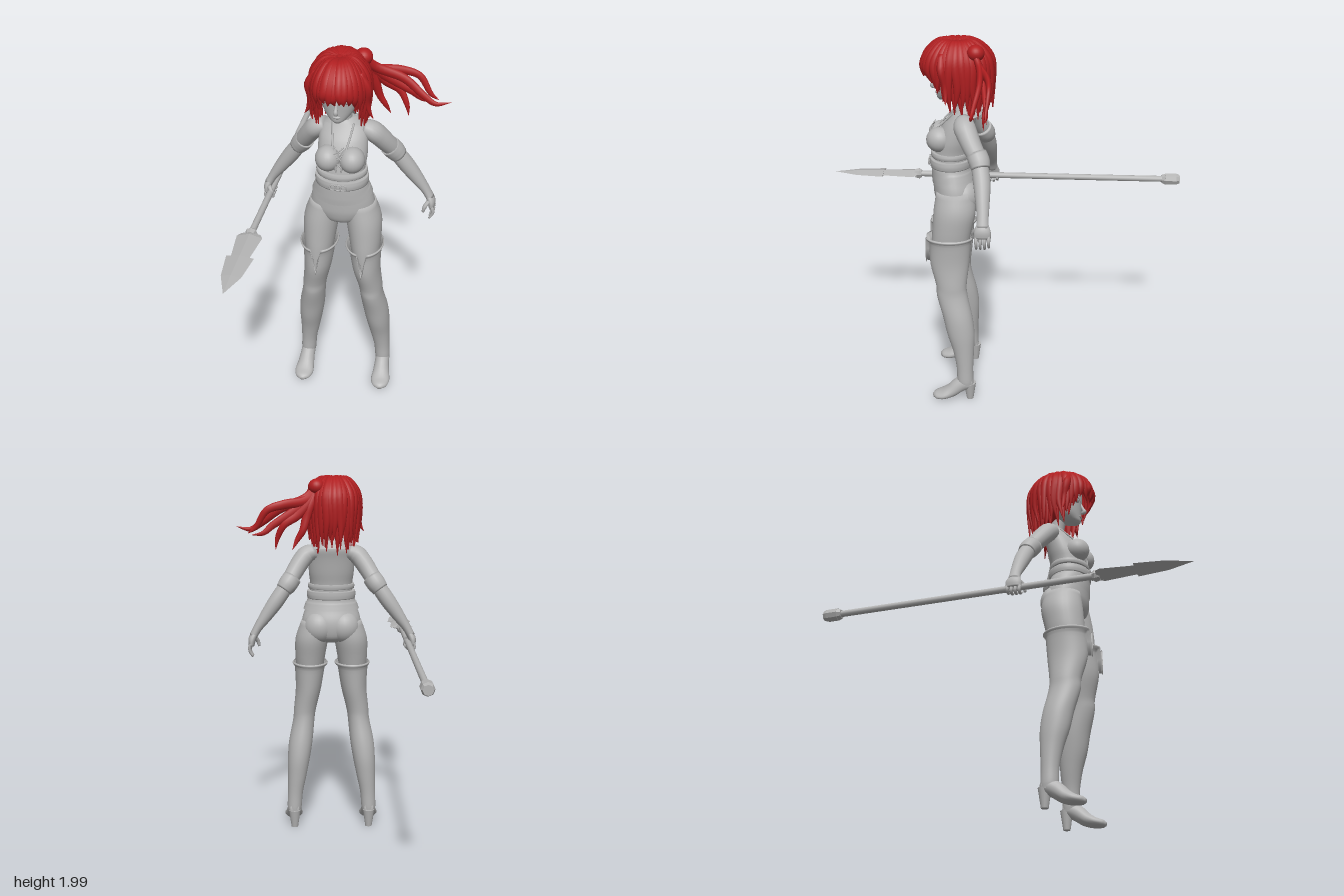
import * as THREE from 'three';

const V = (x, y, z) => new THREE.Vector3(x, y, z);
const UP = V(0, 1, 0), SIDE_Z = V(0, 0, 1);
const grey = new THREE.MeshStandardMaterial({ color: 0xb4b4b4, side: THREE.DoubleSide });
grey.name = 'plain grey';
const red = new THREE.MeshStandardMaterial({ color: 0xb01e20 });
red.name = 'hair red';

function mesh(geo, name, mat = grey) {
  const m = new THREE.Mesh(geo, mat);
  m.name = name;
  return m;
}

// Smooth tube through [x, y, z, radiusA, radiusB]; axis fixes the ring direction
function loft(pts, name, { mat = grey, ref = SIDE_Z, axis = null, n = 20, steps = 4, open = false, rule = null } = {}) {
  const path = new THREE.CatmullRomCurve3(pts.map(p => V(p[0], p[1], p[2])));
  const radii = new THREE.CatmullRomCurve3(pts.map(p => V(p[3], p[4] ?? p[3], 0)), false, 'catmullrom', 0.5);
  const count = (pts.length - 1) * steps, pos = [], idx = [];
  const rings = [];
  for (let i = 0; i <= count; i++) rings.push([i / count, 1]);
  if (!open) { rings.unshift([0, 0]); rings.push([1, 0]); }
  for (const [t, k] of rings) {
    const c = path.getPoint(t), r = radii.getPoint(t), T = axis ?? path.getTangent(t);
    const U = T.clone().cross(ref).normalize(), W = U.clone().cross(T).normalize();
    for (let j = 0; j < n; j++) {
      const a = j / n * Math.PI * 2;
      const p = c.clone().addScaledVector(U, Math.cos(a) * Math.max(r.x, 0) * k).addScaledVector(W, Math.sin(a) * Math.max(r.y, 0) * k);
      if (rule) rule(p, a);
      pos.push(p.x, p.y, p.z);
    }
  }
  for (let i = 0; i < rings.length - 1; i++) for (let j = 0; j < n; j++) {
    const a = i * n + j, b = i * n + (j + 1) % n;
    idx.push(a, a + n, b, b, a + n, b + n);
  }
  const g = new THREE.BufferGeometry();
  g.setAttribute('position', new THREE.Float32BufferAttribute(pos, 3));
  g.setIndex(idx);
  g.computeVertexNormals();
  return mesh(g, name, mat);
}

function ball(name, x, y, z, rx, ry, rz, mat = grey) {
  const m = mesh(new THREE.SphereGeometry(1, 24, 16), name, mat);
  m.position.set(x, y, z);
  m.scale.set(rx, ry, rz);
  return m;
}

const cord = (pts, r, name) => mesh(new THREE.TubeGeometry(new THREE.CatmullRomCurve3(pts.map(p => V(...p))), 12, r, 6), name);

function addTorso(g) {
  const body = { axis: UP, n: 36 };
  g.add(loft([[0, 1.08, .24, .05, .06], [0, 1.11, .245, .12, .1], [0, 1.16, .248, .162, .115], [0, 1.21, .252, .162, .115],
    [0, 1.27, .263, .143, .105], [0, 1.34, .27, .12, .1]], 'hips', body));
  g.add(loft([[0, 1.32, .27, .12, .102], [0, 1.4, .265, .117, .097], [0, 1.47, .25, .125, .095], [0, 1.55, .225, .122, .083],
    [0, 1.6, .2, .11, .068], [0, 1.635, .192, .065, .052], [0, 1.65, .19, .04, .04]], 'vest', body));
  // Vest hem with a pointed front
  g.add(loft([[0, 1.25, .259, .155, .113], [0, 1.29, .266, .141, .109], [0, 1.34, .27, .125, .105]], 'vestHem', {
    ...body, open: true, rule: (p, a) => { if (p.y < 1.3) p.y -= .035 * Math.max(0, Math.sin(a)) - .012; } }));
  // Belt bands and buckle
  for (const [y, h, grow] of [[1.343, .022, .012], [1.39, .014, .006]])
    g.add(loft([[0, y - h, .27, .121 + grow, .1 + grow], [0, y, .27, .124 + grow, .102 + grow], [0, y + h, .269, .121 + grow, .1 + grow]], 'beltBand', body));
  for (const x of [-.026, 0, .026]) {
    const ring = mesh(new THREE.TorusGeometry(.016, .004, 6, 14), 'beltBuckle');
    ring.position.set(x, 1.343, .386);
    g.add(ring);
  }
  for (const s of [-1, 1]) {
    g.add(ball('bust', s * .06, 1.475, .325, .064, .066, .069));
    g.add(ball('buttock', s * .07, 1.165, .2, .085, .09, .078));
    g.add(cord([[s * .055, 1.63, .235], [s * .04, 1.56, .305], [s * .024, 1.5, .36], [s * .012, 1.42, .365]], .005, 'necklineEdge'));
    for (const y of [1.44, 1.48, 1.52])
      g.add(cord([[-s * .025, y, .365], [0, y + .018, .365], [s * .025, y + .036, .352]], .003, 'lacing'));
  }
  // Open folded collar
  const collar = mesh(new THREE.CylinderGeometry(.058, .115, .055, 32, 1, true, .5, Math.PI * 2 - 1), 'collar');
  collar.position.set(0, 1.627, .19);
  collar.scale.z = .75;
  collar.rotation.x = .12;
  g.add(collar);
  g.add(loft([[0, 1.6, .19, .045], [0, 1.66, .2, .04], [0, 1.74, .22, .042]], 'neck', body));
}

function addLeg(g, s) {
  const leg = [[.085, 1.2, .245, .082, .1], [.108, 1.1, .248, .092, .112], [.118, 1, .262, .085, .106], [.122, .92, .272, .076, .1],
    [.13, .8, .276, .064, .092], [.145, .7, .27, .055, .075]].map(p => [s * p[0], ...p.slice(1)]);
  g.add(loft(leg, 'thigh', { axis: V(0, -1, 0), n: 28 }));
  // Tall boot with a notch cut into the front of its cuff
  const boot = [[.12, .95, .278, .093, .126], [.122, .92, .275, .084, .112], [.13, .8, .278, .072, .105], [.15, .68, .27, .063, .083],
    [.157, .62, .266, .061, .083], [.175, .5, .237, .067, .08], [.187, .4, .22, .063, .075], [.197, .3, .206, .053, .058],
    [.208, .2, .199, .043, .046], [.213, .12, .197, .041, .045], [.214, .09, .195, .037, .042]].map(p => [s * p[0], ...p.slice(1)]);
  g.add(loft(boot, 'tallBoot', { axis: V(0, -1, 0), n: 48, open: true,
    rule: (p, a) => { p.y = Math.min(p.y, .95 - .14 * Math.max(0, 1 - Math.abs(a - Math.PI / 2) / .25)); } }));
  g.add(loft([[.119, .938, .278, .094, .126], [.119, .95, .278, .1, .131], [.119, .957, .278, .094, .126]].map(p => [s * p[0], ...p.slice(1)]),
    'cuffRim', { axis: V(0, -1, 0), n: 48, open: true,
      rule: (p, a) => { p.y -= .14 * Math.max(0, 1 - Math.abs(a - Math.PI / 2) / .25); } }));
  // Shoe and heel
  g.add(loft([[.222, .018, .378, .012, .01], [.221, .022, .36, .038, .02], [.219, .03, .32, .052, .027], [.217, .05, .275, .046, .036],
    [.215, .085, .23, .04, .042], [.214, .105, .19, .038, .042], [.213, .11, .155, .024, .03]].map(p => [s * p[0], ...p.slice(1)]),
    'shoe', { ref: UP, rule: p => { p.y = Math.max(p.y, .003); } }));
  const heel = mesh(new THREE.CylinderGeometry(.034, .019, .1, 14), 'heel');
  heel.position.set(s * .213, .05, .172);
  g.add(heel);
}

function addArm(g, s) {
  const side = pts => pts.map(p => [s * p[0], ...p.slice(1)]);
  g.add(loft(side([[.09, 1.59, .192, .04, .045], [.135, 1.572, .188, .05, .056], [.165, 1.54, .172, .05, .055], [.205, 1.48, .14, .047, .05],
    [.238, 1.425, .105, .043, .046]]), 'upperArm'));
  g.add(loft(side([[.215, 1.455, .122, .051, .054], [.24, 1.42, .105, .052, .054], [.262, 1.39, .097, .045, .047]]), 'sleeveCuff'));
  g.add(loft(side([[.235, 1.43, .107, .04, .043], [.3, 1.335, .09, .042, .044], [.36, 1.25, .083, .034, .036], [.405, 1.185, .08, .024, .03],
    [.43, 1.14, .08, .022, .032]]), 'forearm'));
  g.add(loft(side([[.418, 1.16, .08, .018, .028], [.436, 1.125, .08, .021, .042], [.44, 1.09, .08, .016, .042]]), 'palm'));
  // Fingers: the right hand curls round the shaft
  const bend = s < 0 ? [[.44, 1.095], [.446, 1.068], [.422, 1.062], [.398, 1.08]] : [[.44, 1.095], [.45, 1.07], [.445, 1.048], [.432, 1.028]];
  for (let i = 0; i < 4; i++) {
    const z = .112 - i * .021;
    g.add(loft(bend.map(([x, y], k) => [s * x, y + (i === 3 ? .008 : 0), z, .0105 - k * .0015]), 'finger', { n: 8 }));
  }
  g.add(loft(side([[.425, 1.13, .11, .012], [.408, 1.105, .128, .011], [.4, 1.075, .13, .007]]), 'thumb', { n: 8 }));
}

function addHead(g) {
  g.add(loft([[0, 1.674, .318, .014, .012], [0, 1.688, .297, .04, .043], [0, 1.72, .268, .07, .074], [0, 1.76, .248, .089, .097],
    [0, 1.82, .237, .1, .112], [0, 1.9, .23, .1, .115], [0, 1.955, .225, .06, .075]], 'head', { axis: UP, n: 32 }));
  g.add(loft([[0, 1.8, .342, .006], [0, 1.765, .355, .009], [0, 1.745, .363, .012], [0, 1.737, .347, .008]], 'nose', { ref: V(1, 0, 0), n: 10 }));
  g.add(ball('lips', 0, 1.712, .338, .02, .008, .01));
  for (const s of [-1, 1]) {
    g.add(ball('eye', s * .044, 1.798, .324, .026, .018, .019));
    g.add(cord([[s * .018, 1.8, .346], [s * .044, 1.82, .338], [s * .074, 1.808, .316]], .004, 'eyelid'));
    g.add(ball('ear', s * .1, 1.78, .22, .012, .032, .022));
  }
}

function addHair(g) {
  let seed = 7;
  const rand = () => (seed = (seed * 16807) % 2147483647) / 2147483647;
  // Scalp and back volume under the locks
  const cap = mesh(new THREE.SphereGeometry(1, 32, 16, 0, Math.PI * 2, 0, Math.PI * .54), 'hairCap', red);
  cap.position.set(0, 1.86, .228);
  cap.scale.set(.128, .122, .158);
  g.add(cap, ball('hairBack', 0, 1.82, .165, .108, .125, .108, red));

  // Locks falling from the crown all round
  function lock(a, k, drop) {
    const c = (1 - Math.cos(a)) / 2, f = Math.min(1, c * 1.9);
    const end = 1.815 - .15 * f * f * (3 - 2 * f) - drop * (.3 + f);
    const rows = [[.1, 1.975, .4], [.5, 1.978, .8], [.85, 1.928, 1], [1, 1.872, 1], [1.01, (1.872 + end) / 2, .8], [.9 + rand() * .1, end, .08]];
    const pts = rows.map(([r, y, w], i) => {
      const b = a + (i > 3 ? (rand() - .5) * .12 : 0);
      return [Math.sin(b) * r * .137 * k, y - (1 - k) * .08, .23 + Math.cos(b) * r * .176 * k, .012 * w + .002, .023 * w];
    });
    g.add(loft(pts, 'hairLock', { mat: red, ref: V(Math.cos(a), 0, -Math.sin(a)), n: 8 }));
  }
  for (let i = 0; i < 36; i++) lock((i / 36) * Math.PI * 2, 1 + rand() * .05, rand() * .04);
  for (let i = 0; i < 22; i++) lock(.9 + (i / 21) * (Math.PI * 2 - 1.8), .88, .02 + rand() * .04);

  // Long locks beside the face
  for (const s of [-1, 1])
    g.add(loft([[s * .1, 1.93, .3, .02], [s * .14, 1.86, .3, .022], [s * .138, 1.78, .285, .016], [s * .15, 1.72, .28, .01], [s * .168, 1.69, .28, .001]],
      'sideLock', { mat: red, n: 8 }));

  // Wind-blown tail on the left side
  g.add(ball('tailKnot', .095, 1.94, .13, .045, .042, .045, red));
  const tails = [
    [[.15, 1.88, .11], [.29, 1.825, .1], [.39, 1.75, .12], [.45, 1.715, .13], [.525, 1.73, .13]],
    [[.15, 1.87, .1], [.27, 1.85, .06], [.36, 1.82, .05], [.42, 1.73, .06], [.46, 1.7, .06]],
    [[.15, 1.86, .1], [.25, 1.79, .08], [.33, 1.74, .07], [.38, 1.7, .06], [.44, 1.69, .065]],
    [[.14, 1.86, .1], [.2, 1.79, .08], [.27, 1.74, .07], [.305, 1.67, .08], [.315, 1.61, .08]],
    [[.13, 1.85, .1], [.15, 1.78, .09], [.17, 1.71, .08], [.2, 1.66, .08], [.225, 1.61, .07]],
  ];
  for (const t of tails)
    g.add(loft([[.09, 1.945, .14], ...t].map((p, i) => [...p, [.022, .027, .024, .019, .013, .001][i], [.016, .017, .015, .012, .008, .001][i]]),
      'tailLock', { mat: red, n: 8, steps: 6 }));
}

function makeSpear() {
  const spear = new THREE.Group();
  spear.name = 'spear';
  // Section along z with end radii; flat is the height ratio
  function part(name, z0, z1, r0, r1, sides, flat = 1) {
    let geo = new THREE.CylinderGeometry(r1, r0, z1 - z0, sides).rotateX(Math.PI / 2).scale(1, flat, 1).translate(0, 0, (z0 + z1) / 2);
    if (sides < 12) { geo = geo.toNonIndexed(); geo.computeVertexNormals(); }
    spear.add(mesh(geo, name));
  }
  part('shaft', -.9, .54, .017, .017, 12);
  part('buttCap', -.91, -.89, .033, .024, 8);
  part('buttCap', -.97, -.91, .034, .034, 8);
  part('buttCap', -.99, -.97, .026, .034, 8);
  part('collarRing', .485, .5, .022, .032, 8);
  part('collarRing', .5, .525, .032, .025, 8);
  part('bladeBase', .51, .535, .05, .066, 4, .32);
  part('bladeBase', .535, .71, .066, .046, 4, .3);
  part('bladeTip', .705, .86, .07, .05, 4, .22);
  part('bladeTip', .86, .987, .05, .001, 4, .22);
  spear.position.set(-.428, 1.1, 0);
  spear.rotation.y = -.0178;
  return spear;
}

export function createModel() {
  const model = new THREE.Group();
  const figure = new THREE.Group(), head = new THREE.Group();
  figure.name = 'figure';
  head.name = 'headAndHair';
  figure.position.x = -.015;
  head.position.x = -.012;
  addTorso(figure);
  for (const s of [-1, 1]) { addLeg(figure, s); addArm(figure, s); }
  addHead(head);
  addHair(head);
  figure.add(head);
  model.add(figure, makeSpear());
  return model;
}
